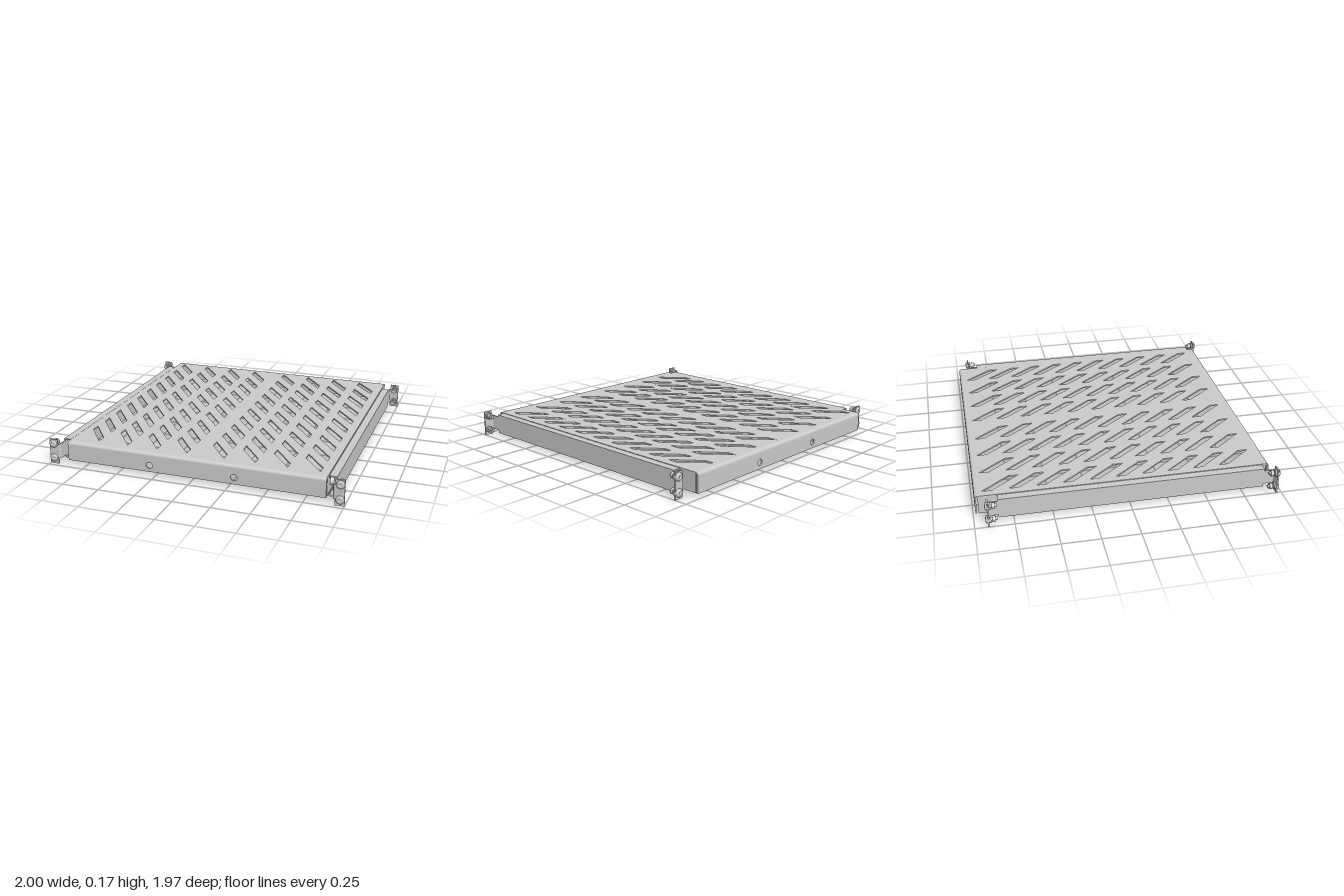
import * as THREE from 'three';

const material = new THREE.MeshStandardMaterial({ color: 0xcccccc });
const T = 0.01; // sheet thickness
const TOP = 0.155, BOTTOM = 0.025, HALF = 0.88, BACK = -0.985, FRONT = 0.945, BEND = 0.02;

function add(parent, name, geometry, x = 0, y = 0, z = 0) {
  const mesh = new THREE.Mesh(geometry, material);
  mesh.name = name;
  mesh.position.set(x, y, z);
  parent.add(mesh);
  return mesh;
}

function polygon(points, Type = THREE.Shape) {
  return new Type(points.map(([x, y]) => new THREE.Vector2(x, y)));
}

function extrude(shape, depth) {
  return new THREE.ExtrudeGeometry(shape, { depth, bevelEnabled: false, curveSegments: 10 });
}

// Box given by its limits
function slab(parent, name, x0, x1, y0, y1, z0, z1) {
  return add(parent, name, new THREE.BoxGeometry(x1 - x0, y1 - y0, z1 - z0),
    (x0 + x1) / 2, (y0 + y1) / 2, (z0 + z1) / 2);
}

// Top sheet with eight columns of ten slanted slots
function addPanel(group) {
  const z0 = BACK + BEND, z1 = FRONT - BEND;
  const shape = polygon([[-HALF, z0], [HALF, z0], [HALF, z1], [-HALF, z1]]);
  for (const x of [-0.83, -0.62, -0.41, -0.2, 0.053, 0.262, 0.472, 0.682]) {
    for (let row = 0; row < 10; row++) {
      const z = -0.936 + row * 0.1725;
      shape.holes.push(polygon([[x, z], [x, z + 0.065], [x + 0.14, z + 0.245], [x + 0.14, z + 0.18]], THREE.Path));
    }
  }
  const geometry = extrude(shape, T);
  geometry.rotateX(Math.PI / 2);
  add(group, 'slottedPanel', geometry, 0, TOP, 0);
}

// Bent-down end wall with two cable holes
function addEndWall(group, name, z, outward) {
  const shape = polygon([[-HALF, BOTTOM], [HALF, BOTTOM], [HALF, TOP - BEND], [-HALF, TOP - BEND]]);
  for (const x of [-0.29, 0.29]) {
    shape.holes.push(new THREE.Path().absarc(x, 0.07, 0.022, 0, Math.PI * 2, true));
  }
  add(group, name, extrude(shape, T), 0, 0, outward > 0 ? z - T : z);

  const bend = new THREE.Shape();
  bend.absarc(0, 0, BEND, 0, Math.PI / 2, false);
  bend.absarc(0, 0, BEND - T, Math.PI / 2, 0, true);
  const geometry = extrude(bend, HALF * 2);
  geometry.translate(0, 0, -HALF);
  geometry.rotateY(outward > 0 ? -Math.PI / 2 : Math.PI / 2);
  add(group, name + 'Bend', geometry, 0, TOP - BEND, z - outward * BEND);
}

// Mounting screw along z, with washer, hex nut and domed head facing +z
function makeScrew() {
  const screw = new THREE.Group();
  screw.name = 'mountingScrew';
  const disc = (name, r, z0, z1, sides) => {
    const geometry = new THREE.CylinderGeometry(r, r, z1 - z0, sides);
    geometry.rotateX(Math.PI / 2);
    return add(screw, name, geometry, 0, 0, (z0 + z1) / 2);
  };
  disc('shank', 0.011, -0.062, 0, 14);
  disc('washer', 0.025, -0.022, -0.012, 20);
  disc('nut', 0.022, -0.05, -0.03, 6);
  const profile = [[0.027, 0], [0.026, 0.006], [0.02, 0.011], [0.009, 0.013], [0.009, 0.007], [0, 0.007]];
  const head = new THREE.LatheGeometry(profile.map(([r, y]) => new THREE.Vector2(r, y)), 20);
  head.rotateX(Math.PI / 2);
  add(screw, 'head', head);
  return screw;
}

// Rail end: neck bent outward into a tab with two screws, facing +z from z = 0
function makeMount() {
  const mount = new THREE.Group();
  mount.name = 'railMount';
  const neck = new THREE.Shape();
  neck.moveTo(0.925, -0.08);
  neck.lineTo(0.925, -0.02);
  neck.quadraticCurveTo(0.925, 0, 0.945, 0);
  neck.lineTo(0.96, 0);
  neck.lineTo(0.96, -T);
  neck.lineTo(0.945, -T);
  neck.quadraticCurveTo(0.935, -T, 0.935, -0.02);
  neck.lineTo(0.935, -0.08);
  const geometry = extrude(neck, 0.1);
  geometry.rotateX(Math.PI / 2);
  add(mount, 'neck', geometry, 0, 0.138, 0);
  slab(mount, 'tab', 0.94, 1, 0, 0.172, -T, 0);
  for (const y of [0.04, 0.14]) {
    const screw = makeScrew();
    screw.position.set(0.972, y, 0);
    mount.add(screw);
  }
  return mount;
}

// Channel rail on the +x side, open towards the shelf
function makeRail() {
  const rail = new THREE.Group();
  rail.name = 'sideRail';
  const z0 = -0.845, z1 = 0.895, yb = 0.017;
  const channel = polygon([
    [0.884, yb], [0.935, yb], [0.935, TOP - 0.002], [0.884, TOP - 0.002],
    [0.884, TOP - 0.018], [0.89, TOP - 0.018], [0.89, TOP - T], [0.925, TOP - T],
    [0.925, yb + T], [0.89, yb + T], [0.89, yb + 0.022], [0.884, yb + 0.022],
  ]);
  add(rail, 'channel', extrude(channel, z1 - z0), 0, 0, z0);

  const front = makeMount();
  front.position.z = 0.972;
  const back = makeMount();
  // The rear mount is reflected in depth; each mesh is reversed by its geometry below
  back.position.z = -0.917;
  back.traverse((part) => {
    if (!part.isMesh) {
      part.position.z *= part === back ? 1 : -1;
      return;
    }
    part.position.z *= -1;
    reflect(part.geometry, 'z');
  });
  rail.add(front, back);

  // Fixing screws joining the shelf side to the rail
  for (const z of [-0.78, 0.82]) {
    const geometry = new THREE.CylinderGeometry(0.02, 0.028, 0.022, 18);
    geometry.rotateZ(-Math.PI / 2);
    add(rail, 'fixingScrew', geometry, 0.891, 0.086, z);
  }
  return rail;
}

// Mirrors a geometry on one axis and keeps its faces outward
function reflect(geometry, axis) {
  geometry.scale(axis === 'x' ? -1 : 1, 1, axis === 'z' ? -1 : 1);
  if (!geometry.index) {
    geometry.setIndex([...Array(geometry.attributes.position.count).keys()]);
  }
  const index = geometry.index;
  for (let i = 0; i < index.count; i += 3) {
    const a = index.getX(i);
    index.setX(i, index.getX(i + 1));
    index.setX(i + 1, a);
  }
  geometry.computeVertexNormals();
}

export function createModel() {
  const model = new THREE.Group();
  model.name = 'rackShelf';
  addPanel(model);
  addEndWall(model, 'frontWall', FRONT, 1);
  addEndWall(model, 'backWall', BACK, -1);

  for (const side of [1, -1]) {
    // Shelf side wall
    const wall = slab(model, 'sideWall', HALF - T, HALF, BOTTOM, TOP - T, BACK + BEND, FRONT - BEND);
    wall.position.x *= side;

    const rail = makeRail();
    if (side < 0) {
      rail.traverse((part) => {
        part.position.x *= -1;
        if (part.isMesh) reflect(part.geometry, 'x');
      });
    }
    model.add(rail);
  }
  return model;
}
